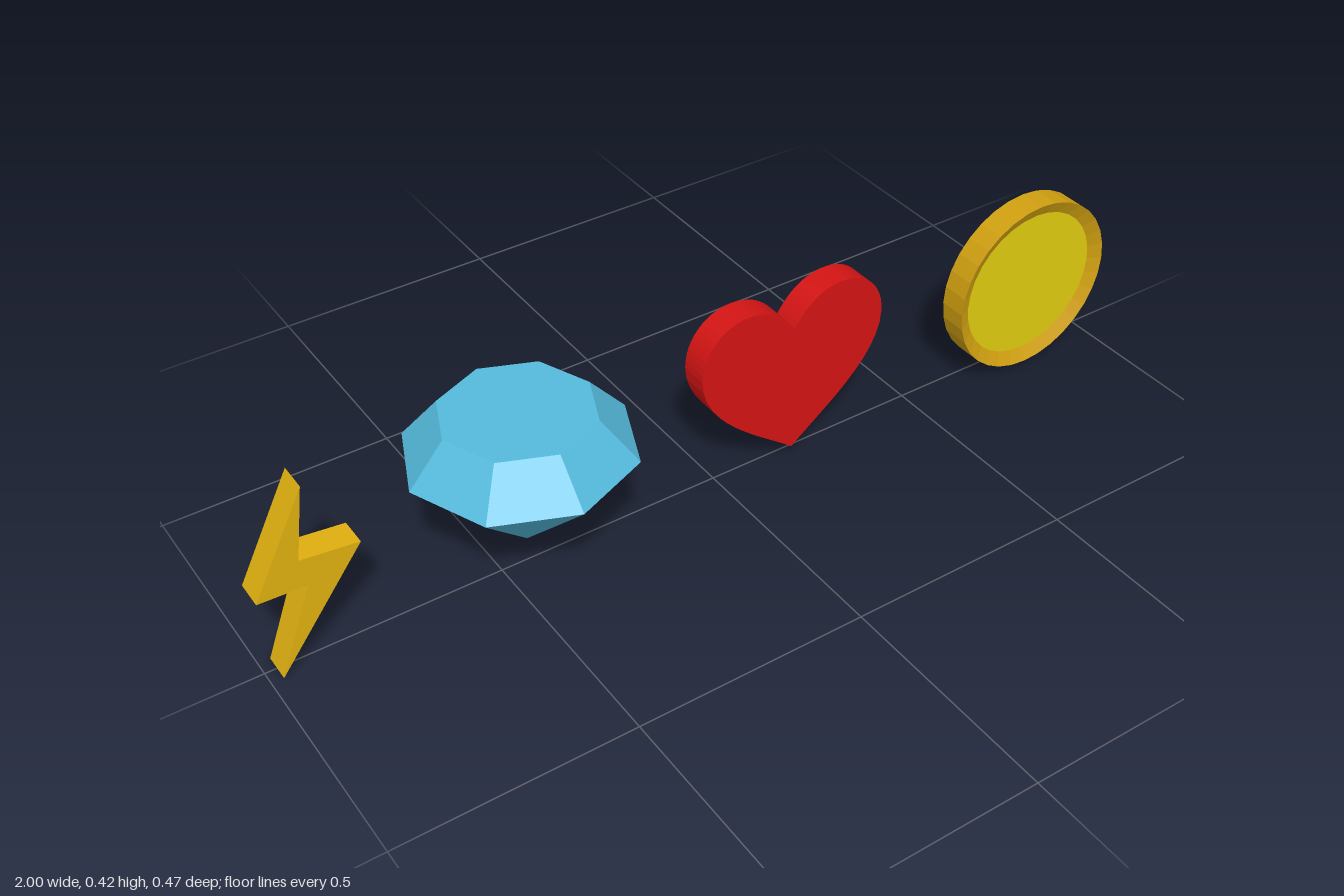
import * as THREE from 'three';

const THICK = 0.062;

function addMesh(group, name, geometry, color) {
  const material = new THREE.MeshStandardMaterial({ color: 0xcccccc, flatShading: true });
  material.color.set(color);
  const mesh = new THREE.Mesh(geometry, material);
  mesh.name = name;
  group.add(mesh);
  return mesh;
}

// Flat plate cut from a shape, centred on z = 0
function plate(shape) {
  const geometry = new THREE.ExtrudeGeometry(shape, { depth: THICK, bevelEnabled: false, curveSegments: 12 });
  return geometry.translate(0, 0, -THICK / 2);
}

const profile = (pairs) => pairs.map(([r, y]) => new THREE.Vector2(r, y));

export function createModel() {
  const model = new THREE.Group();
  model.name = 'pickups';

  // Lightning bolt
  const bolt = new THREE.Shape(profile([
    [-0.885, 0.417], [-1, 0.197], [-0.9, 0.193], [-0.975, 0], [-0.79, 0.243], [-0.91, 0.257],
  ]));
  addMesh(model, 'lightningBolt', plate(bolt), 0xe0b010);

  // Eight-sided cut gem: pavilion, crown and table
  const gem = new THREE.LatheGeometry(
    profile([[0, 0.053], [0.233, 0.281], [0.157, 0.369], [0, 0.369]]), 8);
  addMesh(model, 'gem', gem, 0x55bbdd).position.x = -0.44;

  // Heart, right lobe then left lobe
  const heart = new THREE.Shape();
  heart.moveTo(0, 0.326);
  heart.bezierCurveTo(0.03, 0.375, 0.07, 0.398, 0.115, 0.398);
  heart.bezierCurveTo(0.175, 0.398, 0.223, 0.35, 0.223, 0.285);
  heart.bezierCurveTo(0.223, 0.17, 0.08, 0.09, 0, 0.025);
  heart.bezierCurveTo(-0.08, 0.09, -0.223, 0.17, -0.223, 0.285);
  heart.bezierCurveTo(-0.223, 0.35, -0.175, 0.398, -0.115, 0.398);
  heart.bezierCurveTo(-0.07, 0.398, -0.03, 0.375, 0, 0.326);
  addMesh(model, 'heart', plate(heart), 0xd41414).position.x = 0.177;

  // Coin: rim sloping in to a recessed disc on both sides
  const coin = new THREE.Group();
  coin.name = 'coin';
  const rim = new THREE.LatheGeometry(
    profile([[0.171, -0.016], [0.201, -0.031], [0.201, 0.031], [0.171, 0.016]]), 32);
  addMesh(coin, 'coinRim', rim, 0xd0a010);
  addMesh(coin, 'coinFace', new THREE.CylinderGeometry(0.171, 0.171, 0.032, 32), 0xe0cc10);
  coin.rotation.x = Math.PI / 2;
  coin.position.set(0.799, 0.21, 0.031);
  model.add(coin);

  return model;
}
